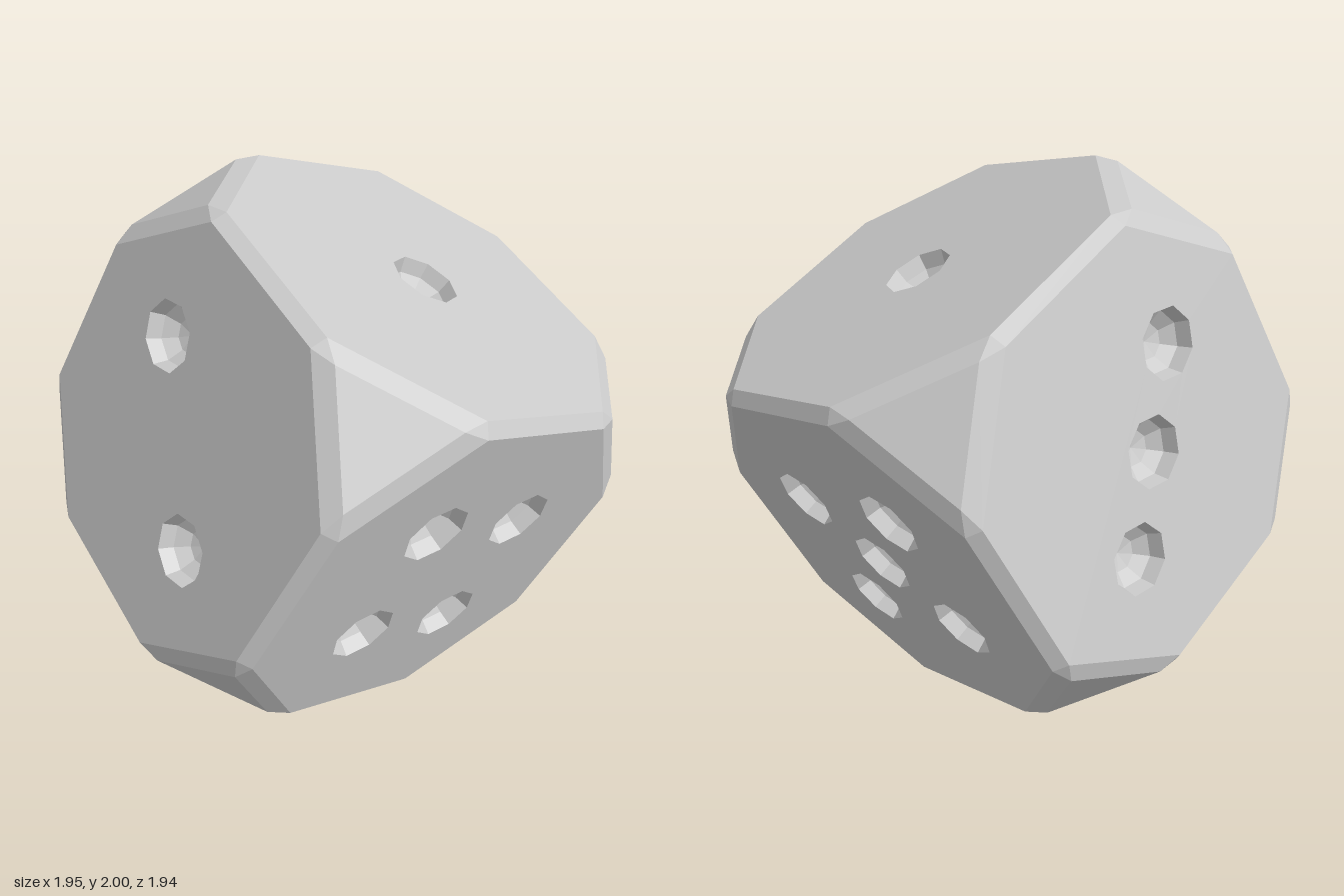
import * as THREE from 'three';

const H = 0.742;  // half the width across opposite faces
const S = 0.70;   // half width of a flat face inside its bevels
const C = 0.31;   // where the corner cuts meet the face edges
const M = 0.708;  // corner triangle vertex: two equal coordinates...
const Q = 0.395;  // ...and the third
const R = 0.128;  // pip radius
const P = 0.26;   // pip spacing

const grey = new THREE.MeshStandardMaterial({ color: 0xcccccc, flatShading: true });
const pipGrey = new THREE.MeshStandardMaterial({ color: 0xcccccc, flatShading: true, side: THREE.DoubleSide });

// Each face: its normal, its right-hand axis and its pip positions
const faces = [
  { name: 'faceOne', n: [0, 1, 0], x: [1, 0, 0], pips: [[0, 0]] },
  { name: 'faceTwo', n: [-1, 0, 0], x: [0, 0, 1], pips: [[-P, P], [P, -P]] },
  { name: 'faceThree', n: [0, 0, -1], x: [-1, 0, 0], pips: [[P, P], [0, 0], [-P, -P]] },
  { name: 'faceFour', n: [0, 0, 1], x: [1, 0, 0], pips: [[-0.22, P], [0.22, P], [-0.22, -P], [0.22, -P]] },
  { name: 'faceFive', n: [1, 0, 0], x: [0, 0, -1], pips: [[-P, P], [P, P], [0, 0], [-P, -P], [P, -P]] },
  { name: 'faceSix', n: [0, -1, 0], x: [1, 0, 0], pips: [-0.29, 0.29].flatMap(a => [-P, 0, P].map(b => [a, b])) },
];

// Octagonal face with octagonal holes
function faceGeometry(pips) {
  const outline = [[S, C], [C, S], [-C, S], [-S, C], [-S, -C], [-C, -S], [C, -S], [S, -C]];
  const shape = new THREE.Shape(outline.map(p => new THREE.Vector2(...p)));
  for (const [a, b] of pips) {
    const ring = [];
    for (let i = 0; i < 8; i++) {
      const t = -i * Math.PI / 4;
      ring.push(new THREE.Vector2(a + R * Math.cos(t), b + R * Math.sin(t)));
    }
    shape.holes.push(new THREE.Path(ring));
  }
  return new THREE.ShapeGeometry(shape);
}

// Hollow faceted bowl, opening towards +z
function pipGeometry() {
  const profile = [];
  for (let i = 0; i <= 3; i++) {
    const t = i * Math.PI / 6;
    profile.push(new THREE.Vector2(R * Math.cos(t), -0.85 * R * Math.sin(t)));
  }
  return new THREE.LatheGeometry(profile, 8).rotateX(Math.PI / 2);
}

// Convex polygons fanned into triangles, turned to face away from the centre
function polygons(list) {
  const out = [];
  for (const poly of list) {
    const v = poly.map(p => new THREE.Vector3(...p));
    const normal = v[1].clone().sub(v[0]).cross(v[2].clone().sub(v[0]));
    if (normal.dot(v[0]) < 0) v.reverse();
    for (let i = 1; i < v.length - 1; i++) {
      for (const p of [v[0], v[i], v[i + 1]]) out.push(p.x, p.y, p.z);
    }
  }
  const g = new THREE.BufferGeometry();
  g.setAttribute('position', new THREE.Float32BufferAttribute(out, 3));
  g.computeVertexNormals();
  return g;
}

// Place values on axes k, k+1, k+2
function onAxes(k, a, b, c) {
  const p = [0, 0, 0];
  p[k] = a;
  p[(k + 1) % 3] = b;
  p[(k + 2) % 3] = c;
  return p;
}

export function createModel() {
  const model = new THREE.Group();
  const die = new THREE.Group();
  die.name = 'die';
  model.add(die);

  // Faces with their pips
  const bowl = pipGeometry();
  for (const f of faces) {
    const side = new THREE.Group();
    side.name = f.name;
    const n = new THREE.Vector3(...f.n), x = new THREE.Vector3(...f.x);
    side.quaternion.setFromRotationMatrix(new THREE.Matrix4().makeBasis(x, n.clone().cross(x), n));
    side.position.copy(n).multiplyScalar(H);
    const plate = new THREE.Mesh(faceGeometry(f.pips), grey);
    plate.name = 'facePlate';
    side.add(plate);
    for (const [a, b] of f.pips) {
      const pip = new THREE.Mesh(bowl, pipGrey);
      pip.name = 'pip';
      pip.position.set(a, b, 0);
      side.add(pip);
    }
    die.add(side);
  }

  // Bevels along edges, and cut corners with their own bevels
  const edges = [], corners = [], cornerBevels = [];
  const signs = [-1, 1];
  for (let k = 0; k < 3; k++) {
    for (const s of signs) for (const t of signs) {
      edges.push([onAxes(k, -C, s * H, t * S), onAxes(k, C, s * H, t * S),
        onAxes(k, C, s * S, t * H), onAxes(k, -C, s * S, t * H)]);
    }
  }
  for (const sx of signs) for (const sy of signs) for (const sz of signs) {
    const at = (k, a, b, c) => onAxes(k, a, b, c).map((v, i) => v * [sx, sy, sz][i]);
    corners.push([0, 1, 2].map(k => at(k, Q, M, M)));
    for (let k = 0; k < 3; k++) {
      cornerBevels.push([at(k, H, S, C), at(k, H, C, S), at(k, M, Q, M), at(k, M, M, Q)]);
      cornerBevels.push([at(k, C, H, S), at(k, C, S, H), at(k, Q, M, M)]);
    }
  }
  for (const [name, list] of Object.entries({ edgeBevels: edges, cornerCuts: corners, cornerBevels })) {
    const mesh = new THREE.Mesh(polygons(list), grey);
    mesh.name = name;
    die.add(mesh);
  }

  // Tilted pose
  const u = new THREE.Vector3(0.917, -0.368, 0.157).normalize();
  const w = u.clone().cross(new THREE.Vector3(0.286, 0.895, 0.327)).normalize();
  const v = w.clone().cross(u);
  die.quaternion.setFromRotationMatrix(new THREE.Matrix4().makeBasis(u, v, w));
  die.position.y = 1;
  return model;
}
